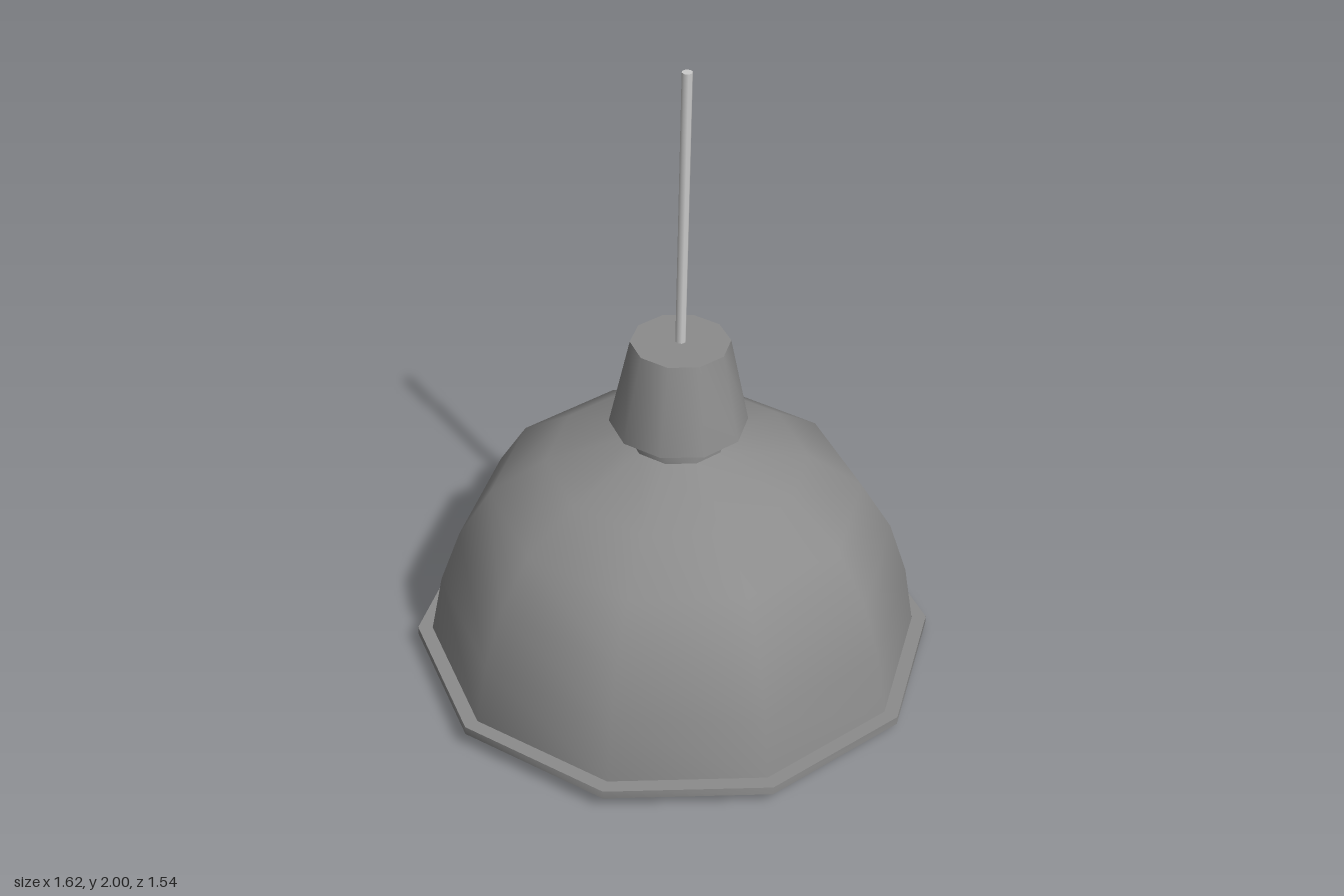
import * as THREE from 'three';
import { toCreasedNormals } from 'three/addons/utils/BufferGeometryUtils.js';

const SIDES = 10;

export function createModel() {
  const model = new THREE.Group();
  model.name = 'pendantLamp';

  const shadeMaterial = new THREE.MeshStandardMaterial({ color: 0x8c8c8c, side: THREE.DoubleSide });
  const lightMaterial = new THREE.MeshStandardMaterial({ color: 0xcccccc });

  // The whole lamp hangs slightly tilted towards the back
  const lamp = new THREE.Group();
  lamp.name = 'tiltedLamp';
  lamp.position.y = 0.028;
  lamp.rotation.x = -0.036;
  model.add(lamp);

  const add = (name, geometry, material) => {
    const mesh = new THREE.Mesh(geometry, material);
    mesh.name = name;
    lamp.add(mesh);
    return mesh;
  };

  // Ten-sided turned part, smooth around and sharp at strong profile corners
  const turned = (name, profile, material) => {
    const points = profile.map(([r, y]) => new THREE.Vector2(r, y));
    const geometry = new THREE.LatheGeometry(points, SIDES, Math.PI / 2);
    return add(name, toCreasedNormals(geometry, 0.75), material);
  };

  // Flat ring around the opening
  turned('rim', [[0.765, 0], [0.81, 0], [0.81, 0.027], [0.765, 0.027], [0.765, 0]], shadeMaterial);

  // Open dome
  turned('shade', [
    [0.765, 0.02], [0.73, 0.22], [0.67, 0.395], [0.57, 0.555], [0.4, 0.67], [0.15, 0.75],
  ], shadeMaterial);

  // Neck, flared lip and tapered cap
  turned('socketCap', [
    [0, 0.74], [0.15, 0.74], [0.15, 0.785], [0.21, 0.813], [0.15, 1.093], [0, 1.093],
  ], shadeMaterial);

  // Bulb under the neck
  const bulb = add('bulb', new THREE.SphereGeometry(0.17, 16, 12), lightMaterial);
  bulb.position.y = 0.575;

  // Hanging cord
  const cord = add('cord', new THREE.CylinderGeometry(0.016, 0.016, 0.9, 8), lightMaterial);
  cord.position.y = 1.523;

  return model;
}
